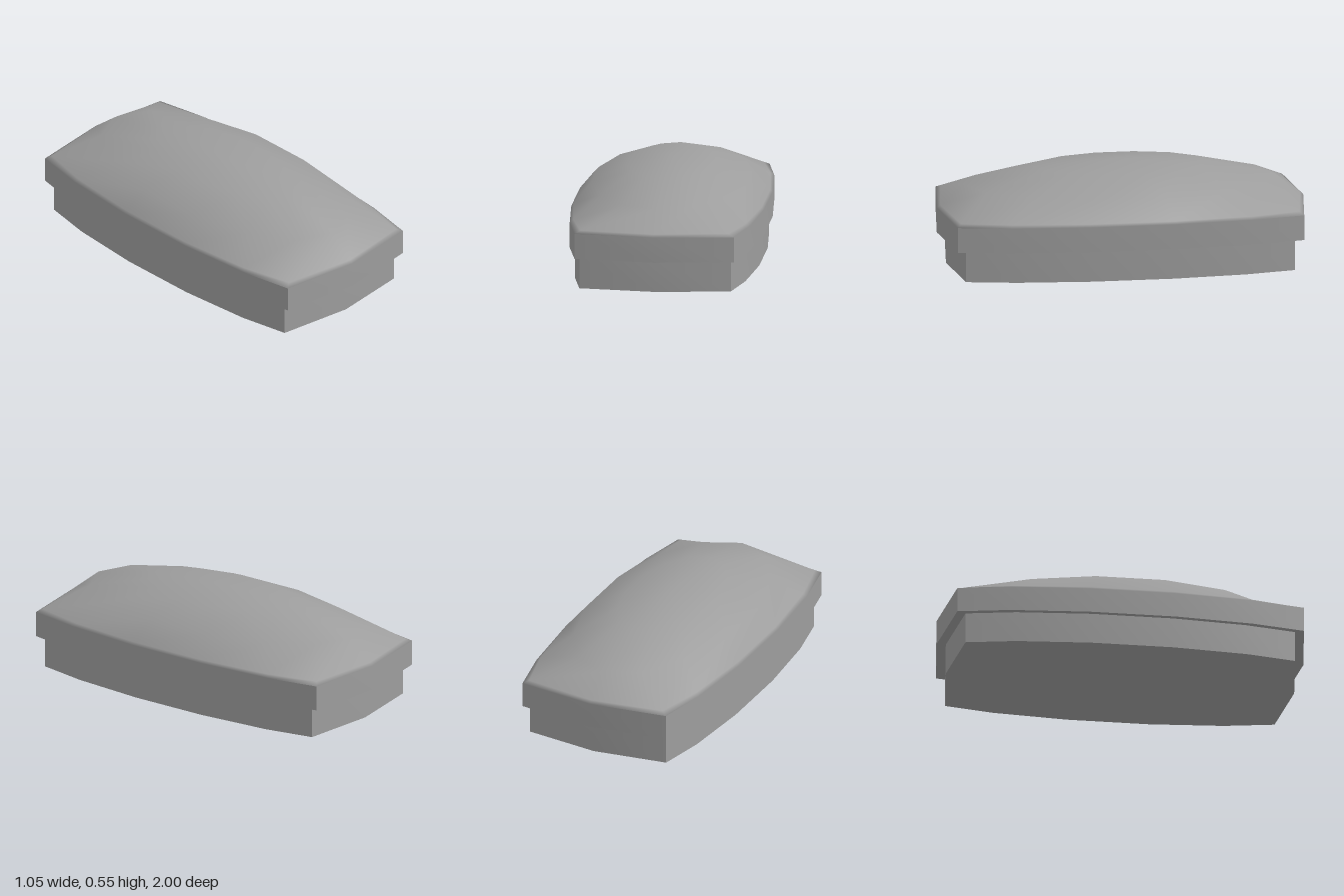
import * as THREE from 'three';
import { toCreasedNormals } from 'three/addons/utils/BufferGeometryUtils.js';

const SIDES = 14;
const material = new THREE.MeshStandardMaterial({ color: 0x9d9d9d });

// Bulged 14-sided plan, [x, z], mirrored from one quarter, starting at the front point
const quarter = [[0, 1], [0.433, 0.945], [0.488, 0.66], [0.523, 0.235]];
const half = [...quarter, ...quarter.slice(1).reverse().map(([x, z]) => [x, -z])];
const outline = [...half, [0, -1], ...half.slice(1).reverse().map(([x, z]) => [-x, z])];

// Straight-walled slab following the plan
function slab(name, scale, y0, y1) {
  const shape = new THREE.Shape(outline.map(([x, z]) => new THREE.Vector2(x * scale, -z * scale)));
  const extruded = new THREE.ExtrudeGeometry(shape, { depth: y1 - y0, bevelEnabled: false });
  extruded.rotateX(-Math.PI / 2).translate(0, y0, 0);
  const mesh = new THREE.Mesh(toCreasedNormals(extruded, 0.6), material);
  mesh.name = name;
  return mesh;
}

// Dome: the plan outline blends into two elliptical rings and an apex
function dome() {
  const ellipse = (y, a, b) => outline.map((_, i) => {
    const t = (i / SIDES) * Math.PI * 2;
    return new THREE.Vector3(a * Math.sin(t), y, b * Math.cos(t));
  });
  const edge = outline.map(([x, z]) => new THREE.Vector3(x, 0.31, z));
  const shoulder = ellipse(0.435, 0.43, 0.845);
  // Narrow strip along the rim that carries the soft edge
  const strip = edge.map((p, i) => p.clone().lerp(shoulder[i], 0.12));
  const rings = [edge, strip, shoulder, ellipse(0.522, 0.238, 0.47)];
  const points = [...rings.flat(), new THREE.Vector3(0, 0.552, 0)];
  const apex = points.length - 1;
  const index = [];
  for (let r = 0; r < rings.length; r++) {
    for (let i = 0; i < SIDES; i++) {
      const a = r * SIDES + i;
      const b = r * SIDES + (i + 1) % SIDES;
      if (r === rings.length - 1) index.push(a, b, apex);
      else index.push(a, b, b + SIDES, a, b + SIDES, a + SIDES);
    }
  }
  const geometry = new THREE.BufferGeometry().setFromPoints(points);
  geometry.setIndex(index);
  geometry.computeVertexNormals();
  // Edge normals turn level, so the dome shades smoothly into the rim wall
  const normals = geometry.attributes.normal;
  for (let i = 0; i < SIDES; i++) {
    const n = new THREE.Vector3(normals.getX(i), 0, normals.getZ(i)).normalize();
    normals.setXYZ(i, n.x, n.y, n.z);
  }
  const mesh = new THREE.Mesh(geometry, material);
  mesh.name = 'dome';
  return mesh;
}

export function createModel() {
  const model = new THREE.Group();
  model.name = 'domedCap';
  model.add(slab('base', 0.95, 0, 0.172), slab('rim', 1, 0.172, 0.31), dome());
  return model;
}
